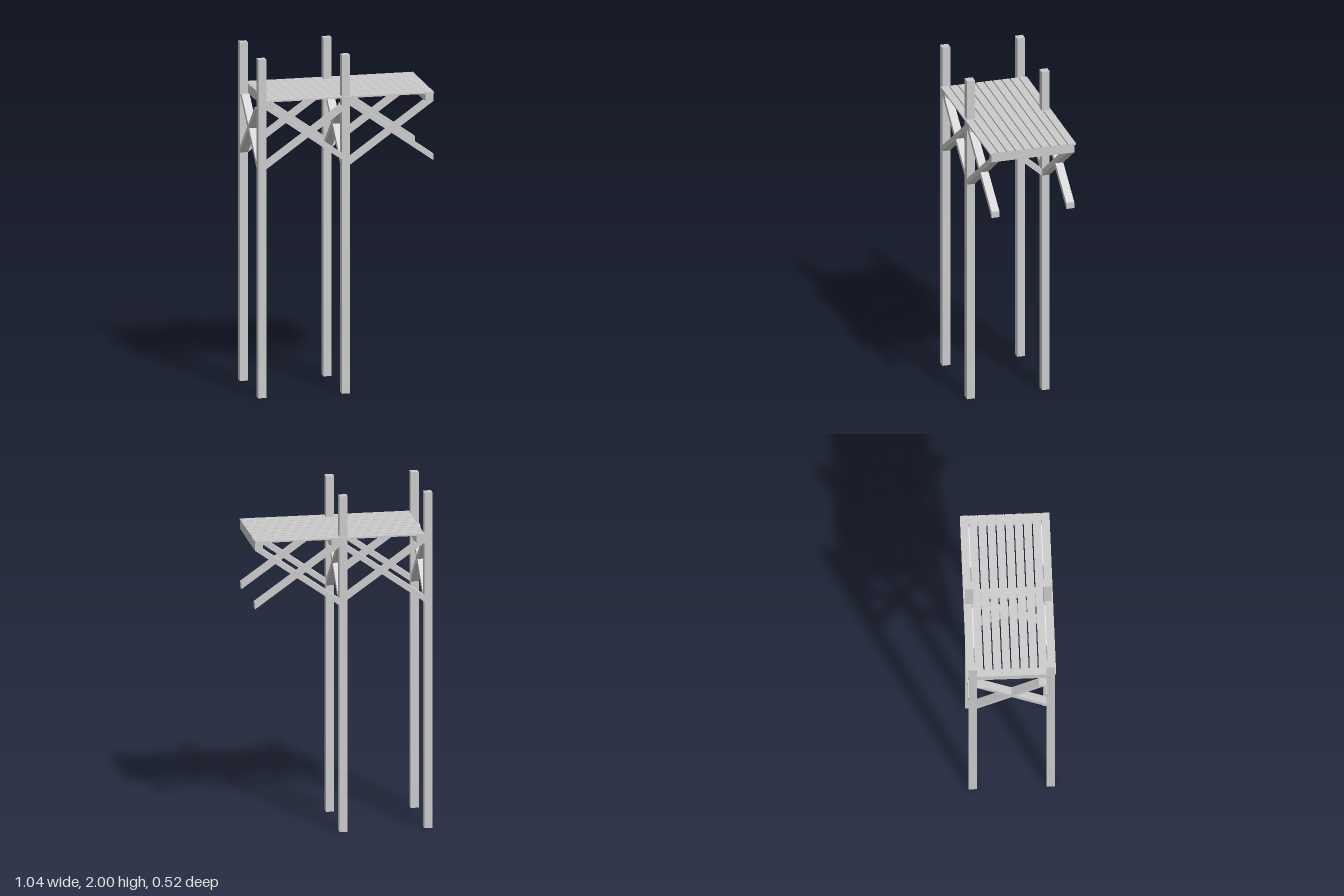
import * as THREE from 'three';

const T = 0.047;            // timber thickness
const BRACE_Y = 1.35;       // foot of the braces
const BEAM_Y = 1.70;        // underside of the cross beams
const DECK_Y = 1.747;       // underside of the planks
const BAY = 0.4945;         // spacing of the frames
const POST_X = [-0.4945, 0];
const POST_Z = 0.2245;

const material = new THREE.MeshStandardMaterial({ color: 0xcccccc, flatShading: true });

function box(name, w, h, d, x, y, z) {
  const mesh = new THREE.Mesh(new THREE.BoxGeometry(w, h, d), material);
  mesh.position.set(x, y, z);
  mesh.name = name;
  return mesh;
}

// Diagonal timber: plumb cut at the foot, level cut at the head, centred on its span
function brace(length, flip) {
  const rise = BEAM_Y - BRACE_Y;
  const cut = 0.038;
  const run = length * cut / rise;
  const h = length / 2;
  const shape = new THREE.Shape([
    [-h, 0], [h, rise], [h - run, rise], [-h, cut],
  ].map(([x, y]) => new THREE.Vector2(flip ? -x : x, y)));
  const geometry = new THREE.ExtrudeGeometry(shape, { depth: T, bevelEnabled: false });
  geometry.translate(0, BRACE_Y, -T / 2);
  return new THREE.Mesh(geometry, material);
}

// Pair of braces crossing in an X
function crossBrace(name, length) {
  const group = new THREE.Group();
  group.name = name;
  group.add(brace(length, false), brace(length, true));
  return group;
}

export function createModel() {
  const model = new THREE.Group();
  model.name = 'raisedPlatform';

  for (const x of POST_X) {
    // Posts
    for (const s of [-1, 1]) model.add(box('post', T, 2, T, x, 1, s * POST_Z));

    // Braces between the front and back posts
    const cross = crossBrace('endBraces', 2 * POST_Z - T);
    cross.rotation.y = Math.PI / 2;
    cross.position.x = x;
    model.add(cross);

    // Lengthwise braces, the second bay running out under the overhang
    for (const s of [-1, 1]) {
      const side = crossBrace('sideBraces', BAY);
      side.position.set(x + T / 2 + BAY / 2, 0, s * POST_Z);
      model.add(side);
    }
  }

  // Cross beams under the deck
  const beamH = DECK_Y - BEAM_Y;
  for (const x of [POST_X[0] + T, POST_X[1] + T, 0.518 - T / 2]) {
    model.add(box('crossBeam', T, beamH, 2 * POST_Z + T, x, BEAM_Y + beamH / 2, 0));
  }

  // Deck planks
  const deck = new THREE.Group();
  deck.name = 'deck';
  const planks = 10;
  for (let i = 0; i < planks; i++) {
    const z = (i - (planks - 1) / 2) * 0.0522;
    deck.add(box('plank', 2 * BAY, 0.01, 0.046, T / 2, DECK_Y + 0.005, z));
  }
  model.add(deck);

  return model;
}
